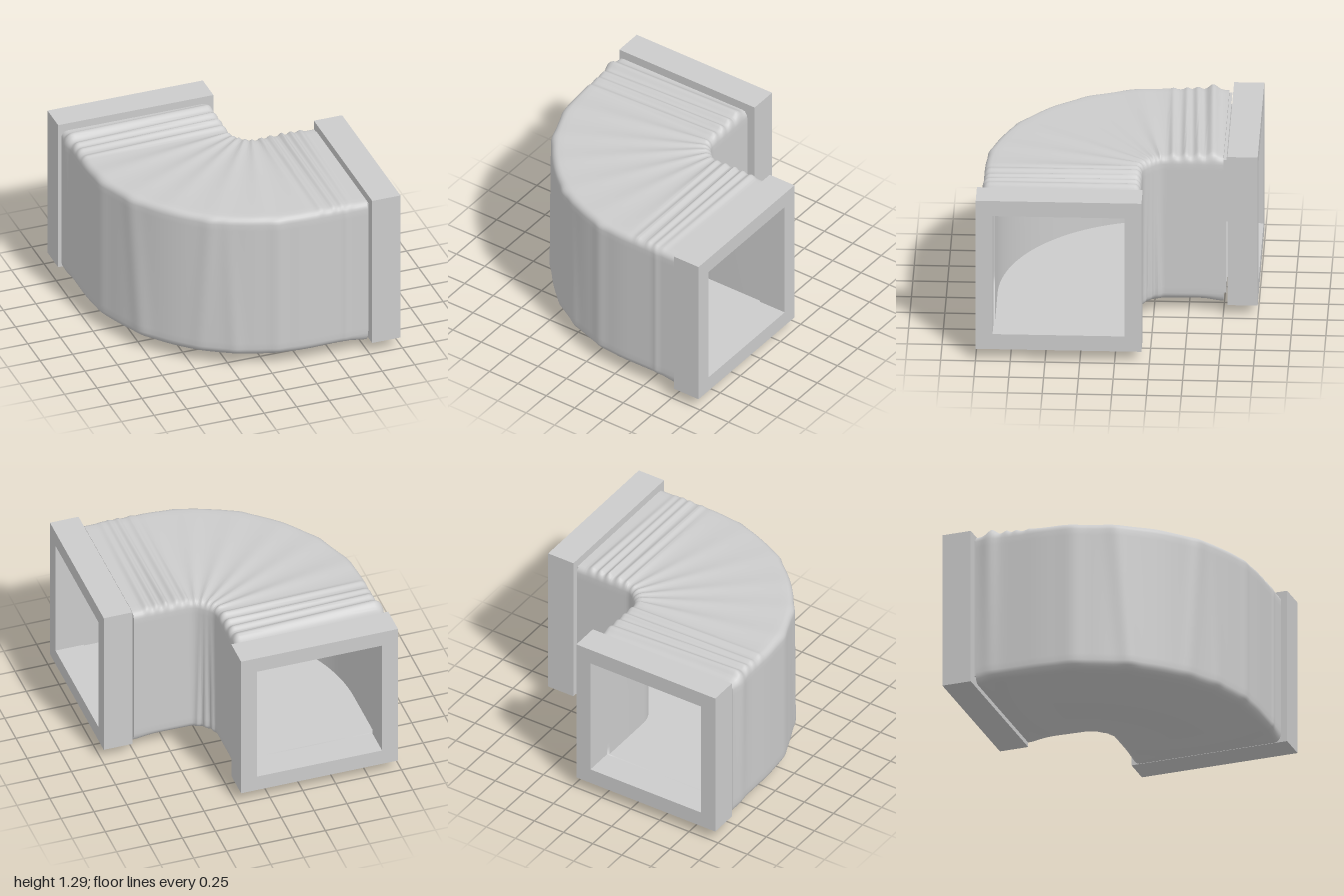
import * as THREE from 'three';
import { toCreasedNormals } from 'three/addons/utils/BufferGeometryUtils.js';

const CX = 0.33, CZ = -0.33;        // pivot of the bend
const STRAIGHT = 0.42;              // straight run at each end of the sleeve
const MID_Y = 0.685, MID_R = 0.7225;

// Place a section point: t < 0 first straight, 0..1 the bend, t > 1 second straight
function place(t, r, y) {
  if (t < 0) return [CX - t * STRAIGHT, y, CZ + r];
  if (t > 1) return [CX - r, y, CZ - (t - 1) * STRAIGHT];
  const a = t * Math.PI / 2;
  return [CX - r * Math.sin(a), y, CZ + r * Math.cos(a)];
}

// Skin a closed section along the bend; section(t) returns [r, y] points
function sweep(stations, section, inward, crease) {
  const pos = [], idx = [];
  let n = 0;
  stations.forEach((t, i) => {
    const ring = section(t, i);
    n = ring.length;
    ring.forEach(([r, y]) => pos.push(...place(t, r, y)));
  });
  for (let i = 0; i < stations.length - 1; i++) {
    for (let j = 0; j < n; j++) {
      const a = i * n + j, b = i * n + (j + 1) % n, c = a + n, d = b + n;
      if (inward) idx.push(a, c, b, b, c, d);
      else idx.push(a, b, c, b, d, c);
    }
  }
  const g = new THREE.BufferGeometry();
  g.setAttribute('position', new THREE.Float32BufferAttribute(pos, 3));
  g.setIndex(idx);
  return toCreasedNormals(g, crease);
}

function stationList(end, nStraight, nArc) {
  const list = [];
  for (let i = 0; i < nStraight; i++) list.push(-end * (1 - i / nStraight));
  for (let i = 0; i < nArc; i++) list.push(i / nArc);
  for (let i = 0; i <= nStraight; i++) list.push(1 + end * i / nStraight);
  return list;
}

const square = (h) => [[MID_R + h, MID_Y - h], [MID_R + h, MID_Y + h],
  [MID_R - h, MID_Y + h], [MID_R - h, MID_Y - h]];

// Rounded square with outward directions: [r, y, nr, ny]
function clothLoop() {
  const h = 0.5675, yc = 0.675, rad = 0.05, k = h - rad, pts = [];
  const corners = [[1, -1], [1, 1], [-1, 1], [-1, -1]];
  corners.forEach(([sx, sy], c) => {
    const a0 = -Math.PI / 2 + c * Math.PI / 2;
    for (let i = 0; i <= 5; i++) {
      const a = a0 + i / 5 * Math.PI / 2, x = Math.cos(a), y = Math.sin(a);
      pts.push([MID_R + sx * k + rad * x, yc + sy * k + rad * y, x, y]);
    }
    const [ex, ey] = corners[(c + 1) % 4];
    const a = a0 + Math.PI / 2, nx = Math.cos(a), ny = Math.sin(a);
    for (let i = 1; i < 22; i++) {
      const f = i / 22;
      pts.push([MID_R + k * (sx + (ex - sx) * f) + rad * nx,
        yc + k * (sy + (ey - sy) * f) + rad * ny, nx, ny]);
    }
  });
  return pts;
}

// Folds: [t, height, width, skew across the section, inner strength, outer strength]
const topFolds = [
  [-0.74, 0.022, 0.06, 0.05, 1, 0.3], [-0.57, 0.025, 0.05, 0.02, 1, 0.5],
  [-0.4, 0.03, 0.05, 0, 1, 0.4], [-0.2, 0.025, 0.06, 0.03, 1, 0.4], [-0.03, 0.02, 0.05, 0.04, 1, 0.1],
  [0.18, 0.012, 0.05, 0, 1, 0.2], [0.36, 0.012, 0.05, 0, 1, 0.2], [0.54, 0.012, 0.05, 0, 1, 0.3],
  [0.7, 0.012, 0.05, 0, 1, 0.3], [0.88, 0.016, 0.05, 0, 1, 0.4],
  [1.14, 0.025, 0.06, -0.1, 1, 0.5], [1.36, 0.028, 0.06, -0.08, 1, 0.6],
  [1.58, 0.03, 0.07, -0.12, 1, 0.8], [1.82, 0.05, 0.1, -0.1, 0.7, 0.9],
];
const outerFolds = [[-0.6, 0.006, 0.06, 0, 1, 1], [0.13, 0.012, 0.025, 0, 1, 1],
  [0.28, 0.012, 0.025, 0.03, 1, 0.3], [0.41, 0.014, 0.03, -0.04, 0.6, 1],
  [0.64, 0.016, 0.035, 0.05, 1, 0.8], [0.85, 0.012, 0.04, 0, 1, 1], [1.75, 0.022, 0.15, 0, 0.4, 1]];
const innerFolds = [[0.25, 0.02, 0.09, 0.1, 1, 0], [0.52, 0.025, 0.1, 0, 1, 0],
  [0.8, 0.02, 0.09, -0.1, 1, 0], [0.5, 0.02, 0.3, 0, 0, 1]];

const folds = (list, t, u) => list.reduce((sum, [t0, amp, w, skew, a, b]) => {
  const d = (t - t0 - skew * u) / w;
  return sum + amp * (a + (b - a) * u) * Math.exp(-d * d);
}, 0);

export function createModel() {
  const group = new THREE.Group();
  const grey = new THREE.MeshStandardMaterial({ color: 0xcccccc });
  const greyDouble = new THREE.MeshStandardMaterial({ color: 0xcccccc, side: THREE.DoubleSide });
  const add = (geometry, name, material = grey) => {
    const mesh = new THREE.Mesh(geometry, material);
    mesh.name = name;
    group.add(mesh);
    return mesh;
  };

  // Square end flanges with a square opening
  const rect = (S, h) => new S([[-h, -h], [h, -h], [h, h], [-h, h]].map(([x, y]) => new THREE.Vector2(x, y)));
  const frame = rect(THREE.Shape, 0.596);
  frame.holes.push(rect(THREE.Path, 0.475));
  const flange = new THREE.ExtrudeGeometry(frame, { depth: 0.217, bevelEnabled: false });
  const side = add(flange, 'sideFlange');
  side.rotation.y = Math.PI / 2;
  side.position.set(0.768, MID_Y, 0.4025);
  add(flange, 'backFlange').position.set(-0.378, MID_Y, -0.998);

  // Hollow duct running between the flanges
  const ductStations = stationList(1.05, 1, 32);
  add(sweep(ductStations, () => square(0.475), true, 0.6), 'ductLining');
  add(sweep(ductStations, () => square(0.535), false, 0.6), 'ductNeck');

  // Wrinkled cloth sleeve, sagging below the bend
  const loop = clothLoop();
  const stations = stationList(1, 48, 80);
  stations.unshift(-1);
  stations.push(2);
  const last = stations.length - 1;
  const cloth = (t, i) => loop.map(([r, y, nr, ny]) => {
    const u = THREE.MathUtils.clamp((r - 0.155) / 1.135, 0, 1);
    const v = THREE.MathUtils.clamp((y - 0.1075) / 1.135, 0, 1);
    const sag = 0.108 * Math.pow(Math.max(0, Math.cos((t - 0.5) * Math.PI / 3)), 1.4);
    const endFlare = 0.025 * Math.exp(-Math.pow((Math.abs(t - 0.5) - 1.5) / 0.25, 2));
    let R = r, Y = y;
    if (ny > 0) Y += ny * folds(topFolds, t, u);
    else Y += ny * (sag * Math.sin(Math.PI * u) + endFlare);
    if (nr > 0) R += nr * folds(outerFolds, t, v);
    else R += nr * folds(innerFolds, t, v) * 0.8;
    // Hem tucked in against the neck at both ends
    if (i === 0 || i === last) {
      R = MID_R + (r - MID_R) * 0.935;
      Y = MID_Y + (y - MID_Y) * 0.935;
    }
    return [R, Y];
  });
  add(sweep(stations, cloth, false, 0.9), 'clothSleeve', greyDouble);

  return group;
}
